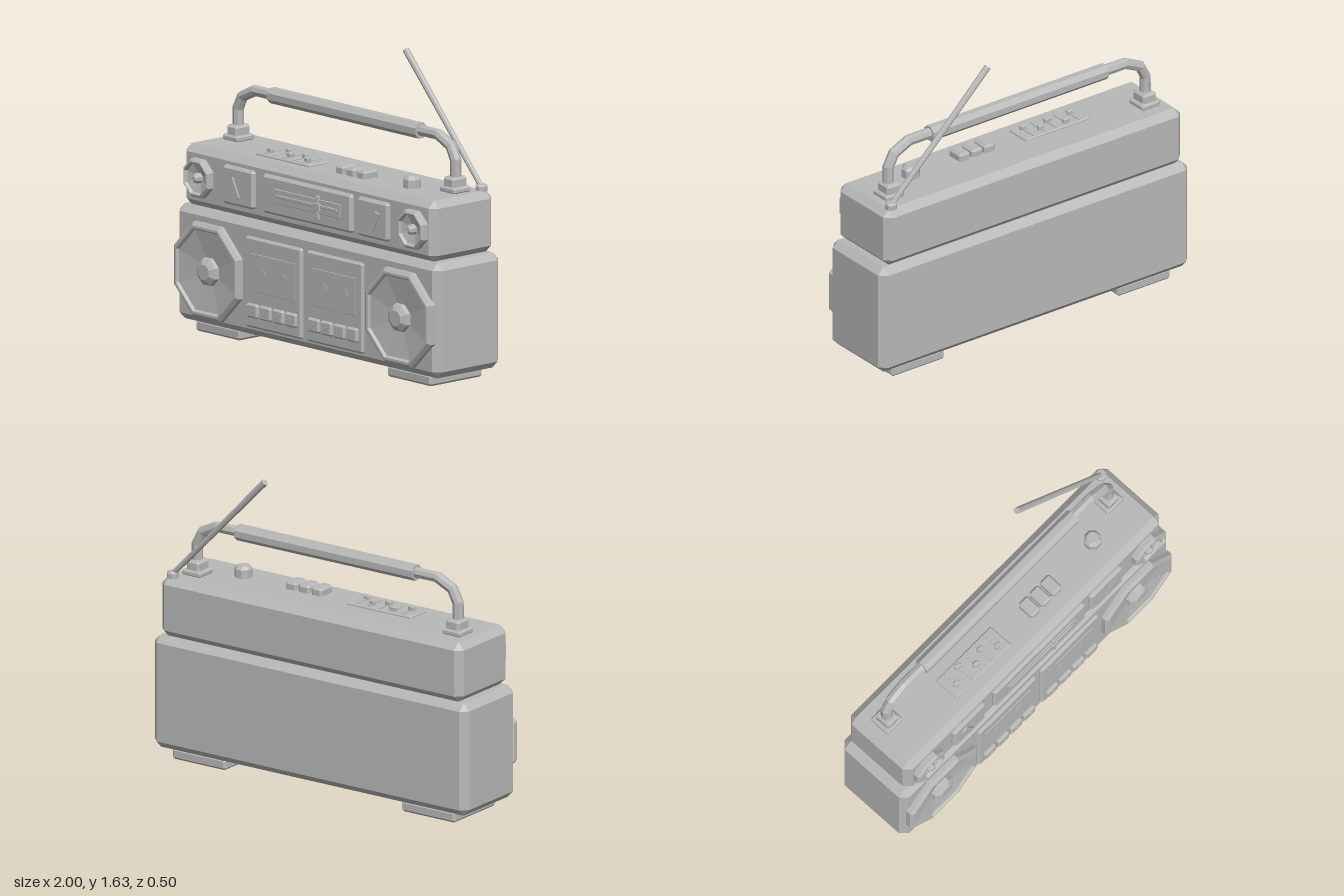
import * as THREE from 'three';
import { ConvexGeometry } from 'three/addons/geometries/ConvexGeometry.js';

const grey = new THREE.MeshStandardMaterial({ color: 0xb8b8b8 });
grey.name = 'grey plastic';

// Faceted normals baked into the geometry
function facet(geometry) {
  const g = geometry.index ? geometry.toNonIndexed() : geometry;
  g.computeVertexNormals();
  return g;
}

function add(parent, name, geometry, x = 0, y = 0, z = 0) {
  const mesh = new THREE.Mesh(facet(geometry), grey);
  mesh.name = name;
  mesh.position.set(x, y, z);
  parent.add(mesh);
  return mesh;
}

// Box with every edge cut by c
function chamferBox(w, h, d, c) {
  const pts = [];
  for (const sx of [-1, 1]) for (const sy of [-1, 1]) for (const sz of [-1, 1]) {
    const x = w / 2, y = h / 2, z = d / 2;
    pts.push(new THREE.Vector3(sx * x, sy * (y - c), sz * (z - c)));
    pts.push(new THREE.Vector3(sx * (x - c), sy * y, sz * (z - c)));
    pts.push(new THREE.Vector3(sx * (x - c), sy * (y - c), sz * z));
  }
  return new ConvexGeometry(pts);
}

// Chamfered box given by its limits
function block(parent, name, x0, x1, y0, y1, z0, z1, c) {
  return add(parent, name, chamferBox(x1 - x0, y1 - y0, z1 - z0, c),
    (x0 + x1) / 2, (y0 + y1) / 2, (z0 + z1) / 2);
}

// Octagonal turned part; profile radii are measured to the flats
function octagon(profile) {
  const k = 1 / Math.cos(Math.PI / 8);
  return new THREE.LatheGeometry(
    profile.map(([r, y]) => new THREE.Vector2(r * k, y)), 8, Math.PI / 8);
}

function speaker(parent, name, x, y, z, ring, cone, dome) {
  const g = new THREE.Group();
  g.name = name;
  g.position.set(x, y, z);
  parent.add(g);
  add(g, 'speakerRing', octagon(ring).rotateX(Math.PI / 2));
  add(g, 'speakerCone', octagon(cone).rotateX(Math.PI / 2));
  add(g, 'speakerDome', octagon(dome).rotateX(Math.PI / 2));
}

export function createModel() {
  const model = new THREE.Group();
  model.name = 'portableStereo';

  // Two stacked cases
  block(model, 'lowerCase', -1, 1, 0.057, 0.665, -0.25, 0.207, 0.037);
  block(model, 'upperCase', -0.96, 0.96, 0.663, 0.985, -0.24, 0.195, 0.037);

  for (const s of [-1, 1]) {
    // Feet
    add(model, 'foot', chamferBox(0.34, 0.06, 0.365, 0.012), s * 0.73, 0.03, -0.023);

    // Large and small speakers
    speaker(model, 'largeSpeaker', s * 0.73, 0.347, 0.2,
      [[0.25, 0], [0.25, 0.03], [0.232, 0.045], [0.22, 0.045], [0.208, 0.028]],
      [[0.21, 0.032], [0.07, 0.012], [0, 0.012]],
      [[0.072, 0.01], [0.068, 0.035], [0.04, 0.055], [0, 0.055]]);
    speaker(model, 'smallSpeaker', s * 0.817, 0.825, 0.185,
      [[0.1, 0], [0.1, 0.038], [0.088, 0.05], [0.082, 0.05], [0.073, 0.03]],
      [[0.075, 0.034], [0.025, 0.018], [0, 0.018]],
      [[0.026, 0.016], [0.024, 0.045], [0.012, 0.058], [0, 0.058]]);

    // Meter panels with slanted needles
    add(model, 'meterPanel', chamferBox(0.24, 0.205, 0.04, 0.014), s * 0.513, 0.827, 0.197);
    const needle = add(model, 'meterNeedle', new THREE.BoxGeometry(0.035, 0.115, 0.012),
      s * 0.535, 0.818, 0.22);
    needle.rotation.z = -s * 0.45;

    // Stepped handle mounts
    add(model, 'handleMountBase', chamferBox(0.118, 0.034, 0.122, 0.009), s * 0.827, 0.998, -0.078);
    add(model, 'handleMountCollar', chamferBox(0.084, 0.07, 0.1, 0.012), s * 0.827, 1.03, -0.078);

    // Bent handle arms
    const path = new THREE.CatmullRomCurve3(
      [[0.83, 1.03], [0.83, 1.15], [0.795, 1.217], [0.7, 1.262], [0.55, 1.262]]
        .map(([x, y]) => new THREE.Vector3(s * x, y, -0.078)));
    path.getPointAt = path.getPoint;
    path.getTangentAt = path.getTangent;
    add(model, 'handleArm', new THREE.TubeGeometry(path, 4, 0.03, 8, false));
  }

  // Handle grip
  add(model, 'handleGrip',
    new THREE.CylinderGeometry(0.0435, 0.0435, 1.135, 8, 1, false, Math.PI / 8)
      .rotateZ(Math.PI / 2), 0, 1.26, -0.078);

  // Tuner dial with its pointer
  block(model, 'tunerPanel', -0.33, 0.355, 0.725, 0.93, 0.177, 0.217, 0.014);
  block(model, 'tunerScale', -0.24, 0.275, 0.79, 0.868, 0.21, 0.222, 0.003);
  block(model, 'tunerTrack', -0.22, 0.255, 0.822, 0.84, 0.215, 0.226, 0.003);
  block(model, 'tunerPointer', 0.095, 0.117, 0.758, 0.885, 0.21, 0.23, 0.003);
  block(model, 'tunerPointerGrip', 0.083, 0.129, 0.808, 0.848, 0.21, 0.233, 0.003);

  // Cassette doors with windows, reels and keys
  [-0.452, 0.015].forEach((x0, deck) => {
    block(model, 'cassetteDoor', x0, x0 + 0.433, 0.105, 0.585, 0.18, 0.222, 0.012);
    block(model, 'cassetteWindow', x0 + 0.05, x0 + 0.383, 0.3, 0.5, 0.215, 0.225, 0.002);
    for (const s of [-1, 1]) {
      add(model, 'cassetteReel', new THREE.CylinderGeometry(0.03, 0.03, 0.008, 8)
        .rotateX(Math.PI / 2), x0 + 0.2165 + s * 0.08, 0.4, 0.224);
    }
    for (let i = 0; i < 4; i++) {
      const x = x0 + 0.07 + i * 0.0975;
      add(model, 'cassetteKey', chamferBox(0.086, 0.074, 0.028, 0.009), x, 0.2, 0.226);
      const last = i === 3;
      if (last && deck === 1) continue;
      const icon = last ? new THREE.BoxGeometry(0.026, 0.026, 0.006)
        : new THREE.CylinderGeometry(0.012, 0.012, 0.006, 3).rotateX(Math.PI / 2);
      add(model, 'keyMark', icon, x, 0.2, 0.241);
    }
  });

  // Equalizer sliders on the top
  block(model, 'sliderPanel', -0.5, -0.09, 0.975, 0.997, -0.04, 0.105, 0.006);
  [0.05, -0.01, 0.05, 0.01, 0.062].forEach((z, i) => {
    const x = -0.442 + i * 0.0735;
    add(model, 'sliderSlot', new THREE.BoxGeometry(0.01, 0.006, 0.12), x, 0.998, 0.032);
    add(model, 'sliderKnob', chamferBox(0.038, 0.034, 0.024, 0.006), x, 1.007, z);
  });

  // Push buttons
  for (let i = 0; i < 3; i++) {
    add(model, 'pushButton', chamferBox(0.07, 0.06, 0.104, 0.012), 0.12 + i * 0.081, 0.997, 0.036);
  }

  // Volume knob
  add(model, 'volumeKnob', octagon([[0.045, 0], [0.045, 0.05], [0.03, 0.068], [0, 0.068]]),
    0.608, 0.98, 0.023);

  // Slanted aerial and its pivot
  add(model, 'aerialPivot', octagon([[0.03, 0], [0.03, 0.027], [0.022, 0.036], [0, 0.036]]),
    0.9, 0.98, -0.194);
  const foot = new THREE.Vector3(0.9, 1.0, -0.195);
  const rod = new THREE.Vector3(0.295, 1.62, -0.22).sub(foot);
  const aerial = add(model, 'aerial', new THREE.CylinderGeometry(0.018, 0.014, rod.length(), 8));
  aerial.position.copy(foot).addScaledVector(rod, 0.5);
  aerial.quaternion.setFromUnitVectors(new THREE.Vector3(0, 1, 0), rod.clone().normalize());

  return model;
}
